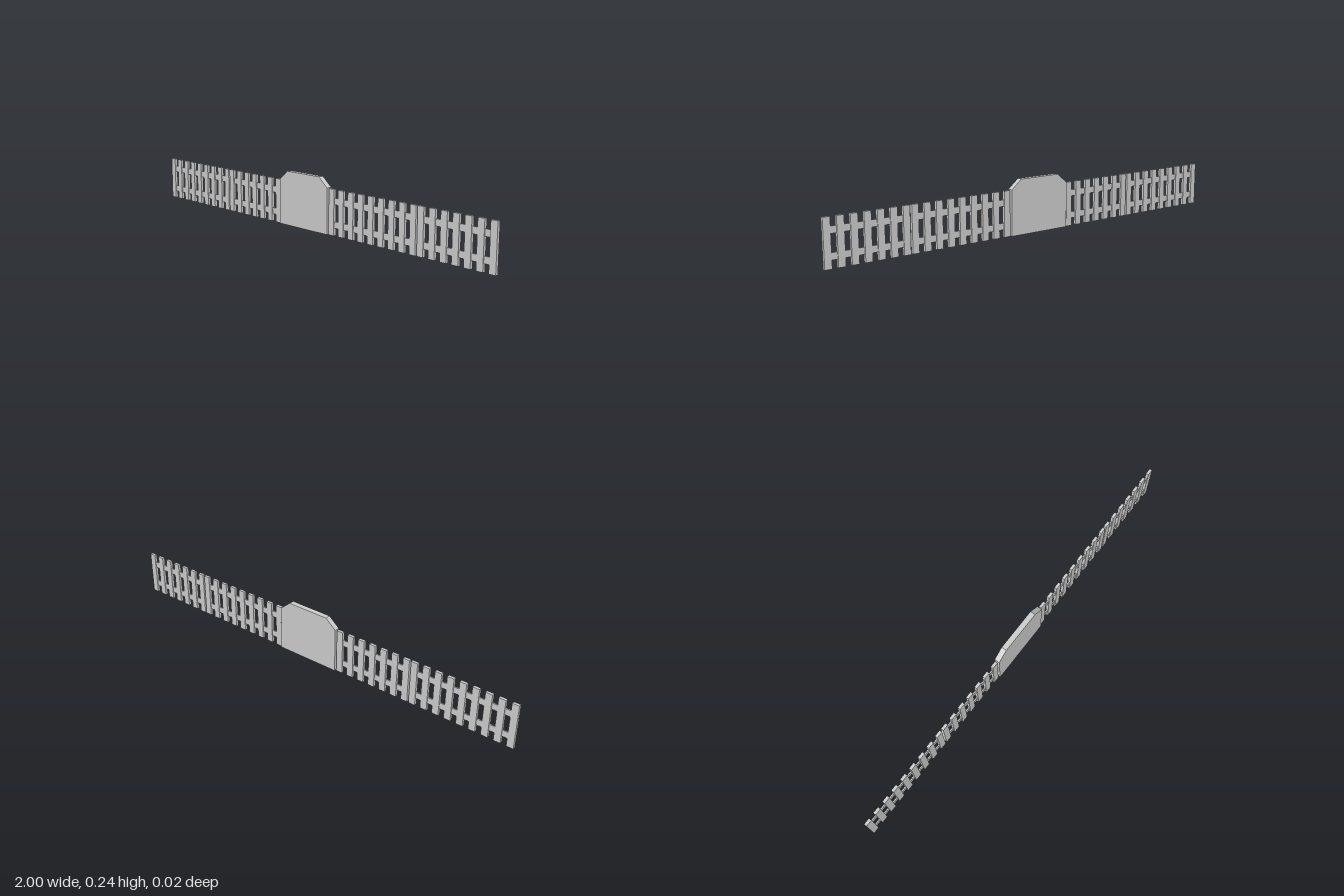
import * as THREE from 'three';

const material = new THREE.MeshStandardMaterial({ color: 0xcccccc, flatShading: true });
const PITCH = 0.0555, PICKET_W = 0.03, PICKET_H = 0.198;

function box(name, w, h, d, x, y) {
  const mesh = new THREE.Mesh(new THREE.BoxGeometry(w, h, d), material);
  mesh.name = name;
  mesh.position.set(x, y, 0);
  return mesh;
}

// A run of upright pickets joined by two thinner rails, starting at x = start
function fencePanel(name, start, count) {
  const panel = new THREE.Group();
  panel.name = name;
  const length = (count - 1) * PITCH + PICKET_W;
  for (let i = 0; i < count; i++) {
    panel.add(box('picket', PICKET_W, PICKET_H, 0.013, start + PICKET_W / 2 + i * PITCH, PICKET_H / 2));
  }
  for (const y of [0.047, 0.147]) {
    panel.add(box('rail', length - 0.004, 0.028, 0.006, start + length / 2, y));
  }
  return panel;
}

export function createModel() {
  const model = new THREE.Group();
  model.name = 'picketFence';

  // Each side has a long panel and a short one with a narrow joint between
  for (const [side, start] of [['right', -1], ['left', 0.155]]) {
    model.add(fencePanel(side + 'LongPanel', start, 9));
    model.add(fencePanel(side + 'ShortPanel', start + 0.482, 7));
  }

  // Solid centre board with clipped top corners
  const outline = new THREE.Shape([
    [-0.15, 0], [0.15, 0], [0.15, 0.2], [0.1, 0.241], [-0.1, 0.241], [-0.15, 0.2],
  ].map(([x, y]) => new THREE.Vector2(x, y)));
  const geometry = new THREE.ExtrudeGeometry(outline, { depth: 0.024, bevelEnabled: false });
  geometry.translate(0, 0, -0.012);
  const board = new THREE.Mesh(geometry, material);
  board.name = 'centreBoard';
  model.add(board);

  return model;
}
